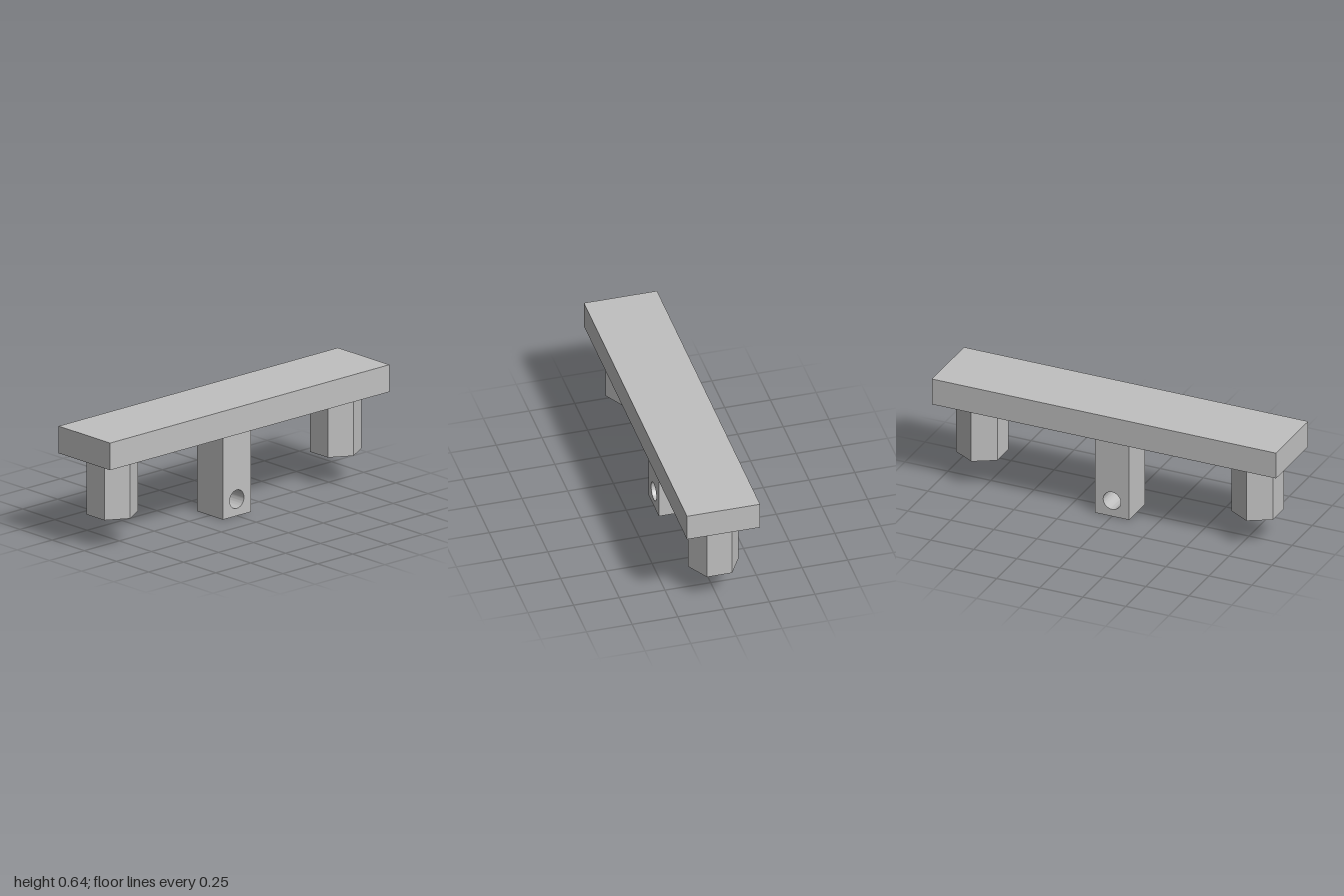
import * as THREE from 'three';
import { toCreasedNormals } from 'three/addons/utils/BufferGeometryUtils.js';

export function createModel() {
  const group = new THREE.Group();
  const grey = new THREE.MeshStandardMaterial({ name: 'plain grey', color: 0xc0c0c0 });

  const UNDERSIDE = 0.492, TOP = 0.642, LEG_BOTTOM = 0.167;

  const add = (name, geometry, x, y, z) => {
    const mesh = new THREE.Mesh(geometry, grey);
    mesh.name = name;
    mesh.position.set(x, y, z);
    group.add(mesh);
  };

  // Long flat bar
  add('bar', new THREE.BoxGeometry(0.4, TOP - UNDERSIDE, 2), 0, (TOP + UNDERSIDE) / 2, 0);

  // Hexagonal pegs near both ends, flat sides facing front and back
  const legHeight = UNDERSIDE - LEG_BOTTOM;
  const hexagon = toCreasedNormals(
    new THREE.CylinderGeometry(0.1386, 0.1386, legHeight, 6).rotateY(Math.PI / 6), 0.5);
  for (const [name, z] of [['frontPeg', 0.8], ['backPeg', -0.8]]) {
    add(name, hexagon, 0, LEG_BOTTOM + legHeight / 2, z);
  }

  // Square middle post with a round cross hole running through along x
  const profile = new THREE.Shape([
    new THREE.Vector2(-0.1, 0), new THREE.Vector2(0.1, 0),
    new THREE.Vector2(0.1, UNDERSIDE), new THREE.Vector2(-0.1, UNDERSIDE),
  ]);
  const hole = new THREE.Path();
  hole.absarc(0, 0.092, 0.051, 0, Math.PI * 2, true);
  profile.holes.push(hole);
  const post = new THREE.ExtrudeGeometry(profile, { depth: 0.2, bevelEnabled: false, curveSegments: 24 });
  post.translate(0, 0, -0.1).rotateY(Math.PI / 2);
  add('middlePost', toCreasedNormals(post, 0.6), 0, 0, 0);

  return group;
}
